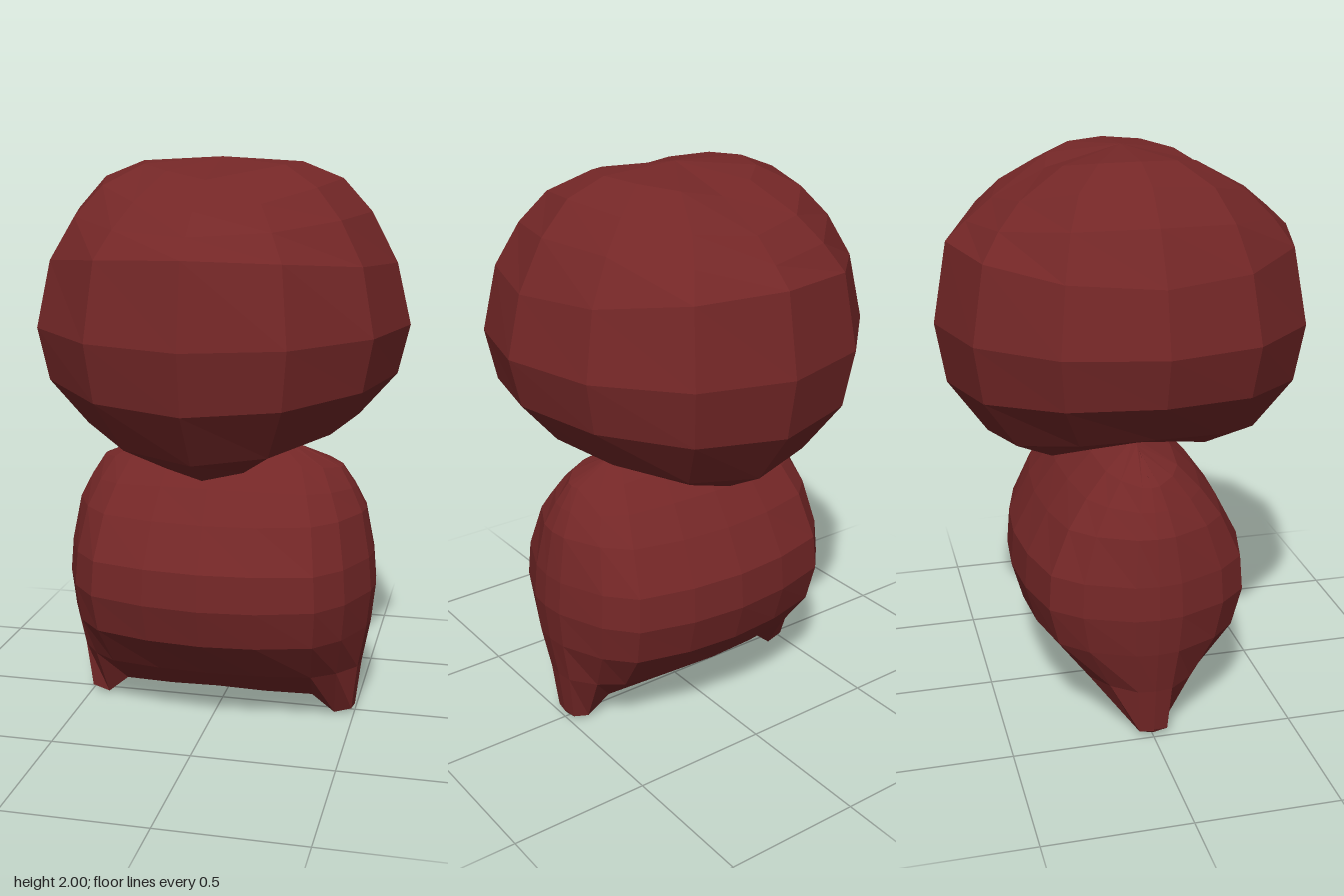
import * as THREE from 'three';

const maroon = new THREE.MeshStandardMaterial({ color: 0x742727, flatShading: true });
maroon.name = 'maroon fabric';

// Skin closed rings, listed from top to bottom, with faceted quads.
function loft(name, rings) {
  const pos = [];
  const tri = (a, b, c) => {
    const n = b.clone().sub(a).cross(c.clone().sub(a));
    if (n.length() > 1e-8) for (const p of [a, b, c]) pos.push(p.x, p.y, p.z);
  };
  for (let i = 0; i < rings.length - 1; i++) {
    const up = rings[i], low = rings[i + 1], n = up.length;
    for (let j = 0; j < n; j++) {
      const k = (j + 1) % n;
      tri(up[j], low[j], low[k]);
      tri(up[j], low[k], up[k]);
    }
  }
  const geo = new THREE.BufferGeometry();
  geo.setAttribute('position', new THREE.Float32BufferAttribute(pos, 3));
  geo.computeVertexNormals();
  const mesh = new THREE.Mesh(geo, maroon);
  mesh.name = name;
  return mesh;
}

// Twelve-sided rounded head; each ring is saddle shaped.
function makeHead() {
  // radius x, y at the sides, radius z, y at the front and back
  const profile = [
    [0, 2, 0, 2], [0.28, 1.985, 0.26, 1.93], [0.42, 1.93, 0.44, 1.84],
    [0.52, 1.82, 0.53, 1.765], [0.61, 1.65, 0.6, 1.7], [0.66, 1.44, 0.65, 1.42],
    [0.62, 1.27, 0.615, 1.21], [0.49, 1.12, 0.48, 1.02], [0.27, 1.03, 0.32, 0.93],
    [0.2, 1.05, 0.15, 0.97], [0, 1.05, 0, 1.05],
  ];
  const rings = profile.map(([rx, yx, rz, yz], row) => Array.from({ length: 12 }, (_, j) => {
    const a = j * Math.PI / 6, s = Math.sin(a), c = Math.cos(a);
    // the crown is a ridge running from side to side
    const side = row === 1 ? Math.abs(s) : s * s;
    return new THREE.Vector3(rx * s, yz + (yx - yz) * side, rz * c);
  }));
  return loft('head', rings);
}

// Pillow-shaped body whose lower corners are drawn down into two feet.
function makeBody() {
  // depth, y in the middle, half width, y at the ends
  const rows = [
    [0, 1.04, 0.28, 1.0], [0.15, 0.97, 0.44, 0.93], [0.24, 0.88, 0.485, 0.86],
    [0.32, 0.77, 0.525, 0.78], [0.4, 0.62, 0.555, 0.62], [0.41, 0.49, 0.565, 0.5],
    [0.37, 0.35, 0.55, 0.36], [0.24, 0.2, 0.52, 0.2], [0.08, 0.085, 0.5, 0.03],
    [0, 0.065, 0.5, 0.03],
  ];
  // width fraction, depth fraction, y of the foot edge and underside
  const cols = [
    [0, 1, 0.085, 0.07], [0.35, 0.96, 0.08, 0.065], [0.7, 0.84, 0.08, 0.07],
    [0.86, 0.6, 0.01, 0.005], [0.985, 0.2, 0.03, 0.02], [1, 0, 0.035, 0.03],
  ];
  // front from right to left, then the back in return
  const front = [...cols.slice(1).reverse().map(c => [c, -1]), ...cols.map(c => [c, 1])];
  const back = front.slice(1, -1).reverse();
  const rings = rows.map(([depth, yc, half, ye], i) => {
    const point = ([[f, d, footEdge, footBase], side], dir) => {
      let z = depth * d, y = yc + (ye - yc) * f * f;
      if (i === 8) { y = footEdge; if (d > 0) z = Math.max(z, 0.05); }
      if (i === 9) y = footBase;
      if (i === 7 && d > 0) z = Math.max(z, 0.06);
      return new THREE.Vector3(side * f * half, y, dir * z);
    };
    return [...front.map(p => point(p, 1)), ...back.map(p => point(p, -1))];
  });
  return loft('bodyWithFeet', rings);
}

export function createModel() {
  const model = new THREE.Group();
  model.name = 'cushionFigure';
  model.add(makeHead(), makeBody());
  return model;
}
